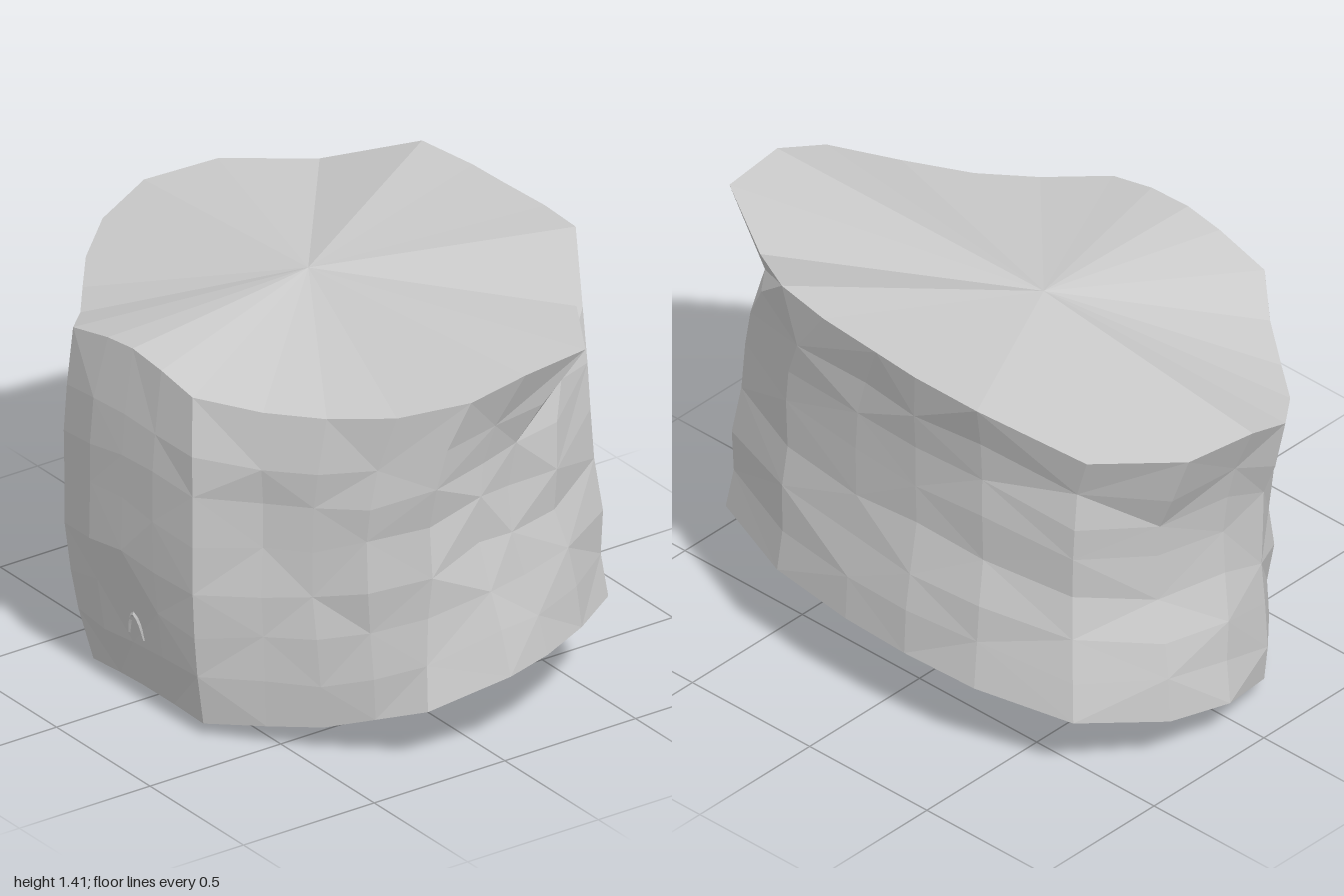
import * as THREE from 'three';

// Rim of the tilted top, x, y, z per column, starting at the front and going towards +x
const TOP = [
  -0.04, 1.21, 0.68, 0.12, 1.2, 0.685, 0.28, 1.17, 0.68, 0.46, 1.15, 0.54,
  0.62, 1.155, 0.41, 0.8, 1.19, 0.27, 0.96, 1.26, 0.1, 1, 1.32, -0.08,
  0.97, 1.325, -0.33, 0.67, 1.3, -0.51, 0.4, 1.41, -0.7, 0.2, 1.395, -0.725,
  -0.03, 1.38, -0.73, -0.2, 1.37, -0.735, -0.45, 1.355, -0.72, -0.76, 1.215, -0.55,
  -0.97, 1.2, -0.31, -1, 1.19, -0.05, -0.97, 1.12, 0.13, -0.85, 1.08, 0.28,
  -0.7, 1.07, 0.4, -0.53, 1.09, 0.53, -0.38, 1.14, 0.665, -0.18, 1.19, 0.675,
];
// Narrower waist, x, z per column
const WAIST = [
  -0.03, 0.73, 0.13, 0.725, 0.32, 0.71, 0.47, 0.55, 0.6, 0.45, 0.74, 0.34,
  0.87, 0.19, 0.9, 0.02, 0.89, -0.1, 0.84, -0.3, 0.72, -0.54, 0.42, -0.66,
  0.1, -0.675, -0.15, -0.68, -0.4, -0.64, -0.68, -0.53, -0.83, -0.3, -0.885, -0.05,
  -0.88, 0.13, -0.78, 0.27, -0.64, 0.4, -0.5, 0.54, -0.38, 0.7, -0.2, 0.73,
];
// Slanting foot, x, y, z per column
const FOOT = [
  -0.03, 0.03, 0.645, 0.14, 0.035, 0.65, 0.31, 0.04, 0.66, 0.48, 0.065, 0.54,
  0.63, 0.09, 0.43, 0.77, 0.145, 0.33, 0.91, 0.2, 0.23, 0.99, 0.28, -0.03,
  0.95, 0.29, -0.2, 0.88, 0.305, -0.38, 0.77, 0.315, -0.56, 0.42, 0.315, -0.7,
  0.1, 0.3, -0.73, -0.15, 0.29, -0.73, -0.42, 0.27, -0.7, -0.74, 0.235, -0.59,
  -0.91, 0.19, -0.33, -0.95, 0.16, -0.1, -0.87, 0.09, 0.14, -0.75, 0.05, 0.28,
  -0.6, 0.02, 0.4, -0.47, 0.012, 0.52, -0.32, 0, 0.63, -0.16, 0.02, 0.64,
];
const COLUMNS = WAIST.length / 2;
// Height fraction of each ring, and how much of the waist it takes
const LEVELS = [[0, 0], [0.14, 0.25], [0.28, 0.6], [0.42, 1], [0.57, 1], [0.7, 0.9], [0.83, 0.62], [1, 0]];

function seeded(seed) {
  return () => {
    seed = (seed * 16807) % 2147483647;
    return seed / 2147483647;
  };
}

function createBody() {
  const random = seeded(41);
  const rings = LEVELS.map(([t, w]) => {
    const ring = [];
    for (let i = 0; i < COLUMNS; i++) {
      const foot = new THREE.Vector3().fromArray(FOOT, i * 3);
      const top = new THREE.Vector3().fromArray(TOP, i * 3);
      const waist = new THREE.Vector3(WAIST[i * 2], 0, WAIST[i * 2 + 1]);
      const p = (t < 0.5 ? foot : top).clone();
      // the front face swells out sooner than the sides
      const blend = foot.z > 0.6 ? Math.sqrt(w) : w;
      p.lerp(waist, blend);
      p.y = THREE.MathUtils.lerp(foot.y, top.y, t);
      // chipped surface between the two rims
      if (t > 0 && t < 1) {
        const k = 1 + (random() - 0.5) * (foot.z > 0.6 ? 0.008 : 0.035);
        p.x *= k;
        p.z *= k;
        p.y += (random() - 0.5) * 0.03;
      }
      ring.push(p);
    }
    return ring;
  });

  const points = [];
  const face = (...corners) => corners.forEach((p) => points.push(p.x, p.y, p.z));
  const topCentre = new THREE.Vector3(-0.08, 1.27, -0.02);
  const footCentre = new THREE.Vector3(0, 0.16, 0);
  const last = rings.length - 1;
  for (let i = 0; i < COLUMNS; i++) {
    const n = (i + 1) % COLUMNS;
    for (let j = 0; j < last; j++) {
      const a = rings[j][i], b = rings[j][n], c = rings[j + 1][n], d = rings[j + 1][i];
      if ((i + j) % 2) {
        face(a, b, c);
        face(a, c, d);
      } else {
        face(a, b, d);
        face(b, c, d);
      }
    }
    face(topCentre, rings[last][i], rings[last][n]);
    face(footCentre, rings[0][n], rings[0][i]);
  }
  const geometry = new THREE.BufferGeometry();
  geometry.setAttribute('position', new THREE.Float32BufferAttribute(points, 3));
  geometry.computeVertexNormals();
  return geometry;
}

export function createModel() {
  const group = new THREE.Group();
  const material = new THREE.MeshStandardMaterial({ color: 0xcccccc, flatShading: true });

  const body = new THREE.Mesh(createBody(), material);
  body.name = 'rockBody';
  group.add(body);

  // Small arched nick low on the front face
  const path = new THREE.CatmullRomCurve3([
    new THREE.Vector3(-0.045, 0.225, 0.684),
    new THREE.Vector3(-0.026, 0.285, 0.694),
    new THREE.Vector3(-0.005, 0.305, 0.697),
    new THREE.Vector3(0.016, 0.285, 0.694),
    new THREE.Vector3(0.035, 0.225, 0.684),
  ]);
  const nick = new THREE.Mesh(new THREE.TubeGeometry(path, 10, 0.009, 5), material);
  nick.name = 'frontNick';
  group.add(nick);
  return group;
}
